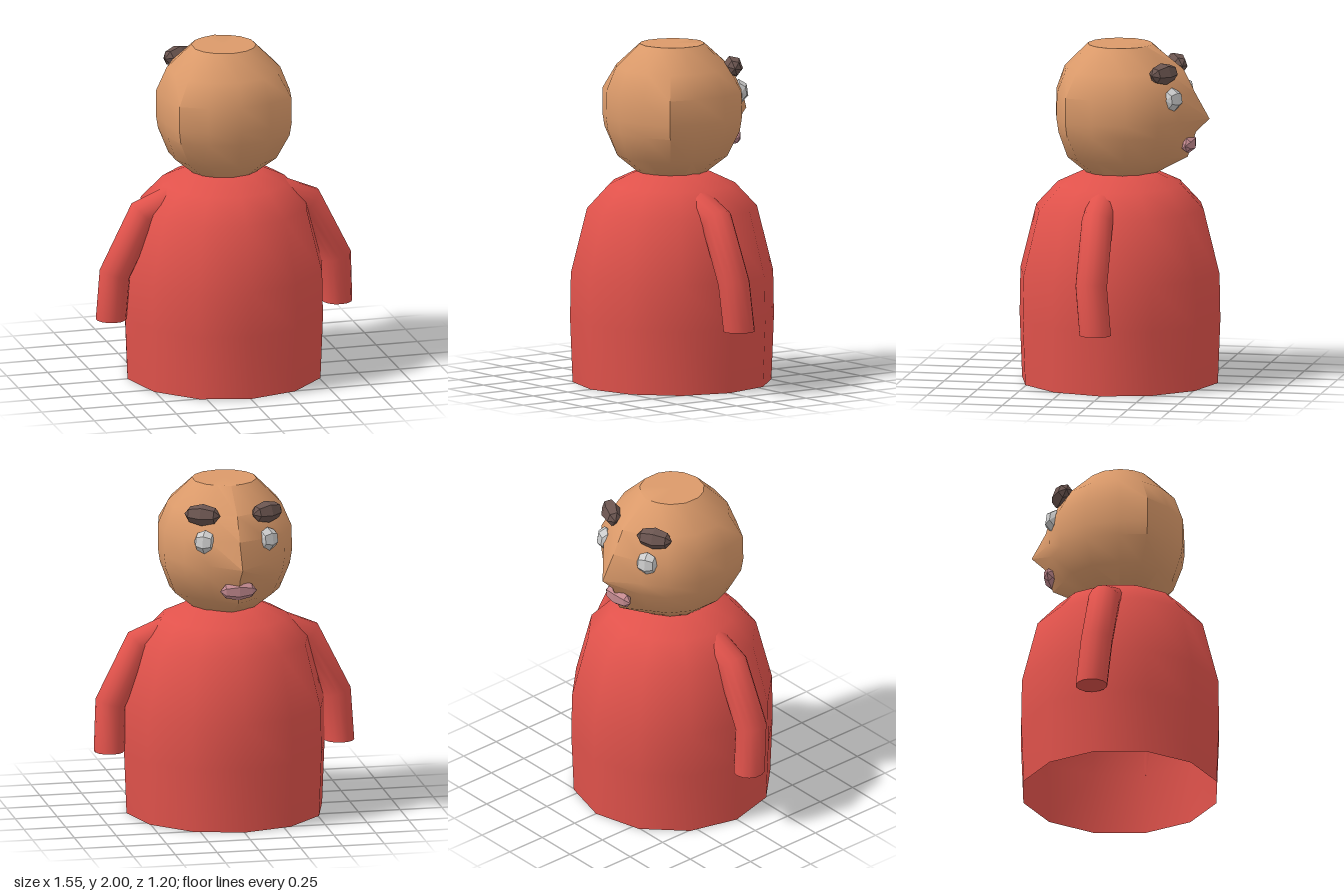
import * as THREE from 'three';
import { toCreasedNormals, mergeVertices } from 'three/addons/utils/BufferGeometryUtils.js';

const mat = (color, opts = {}) => new THREE.MeshStandardMaterial({ color, ...opts });

// Skin over closed rings listed from top to bottom, with optional end caps.
function loft(rings, { top = true, bottom = true, crease = 0.9 } = {}) {
  const n = rings[0].length, pos = [], idx = [];
  rings.forEach(r => r.forEach(p => pos.push(...p)));
  for (let j = 0; j < rings.length - 1; j++) {
    for (let i = 0; i < n; i++) {
      const a = j * n + i, b = j * n + (i + 1) % n, c = a + n, d = b + n;
      idx.push(a, c, d, a, d, b);
    }
  }
  const cap = (j, up) => {
    const centre = [0, 1, 2].map(k => rings[j].reduce((s, p) => s + p[k], 0) / n);
    const m = pos.length / 3;
    pos.push(...centre);
    for (let i = 0; i < n; i++) {
      const a = j * n + i, b = j * n + (i + 1) % n;
      idx.push(m, up ? a : b, up ? b : a);
    }
  };
  if (top) cap(0, true);
  if (bottom) cap(rings.length - 1, false);
  const g = new THREE.BufferGeometry();
  g.setAttribute('position', new THREE.Float32BufferAttribute(pos, 3));
  g.setIndex(idx);
  return toCreasedNormals(g, crease);
}

// Robe: twelve-sided, open underneath
function robeGeometry() {
  const profile = [[0.2, 1.25], [0.37, 1.17], [0.5, 1.03], [0.595, 0.65], [0.6, 0.38], [0.585, 0]];
  const rings = profile.map(([r, y]) => Array.from({ length: 12 }, (_, i) => {
    const a = i * Math.PI / 6;
    return [r * Math.sin(a), y, r * Math.cos(a)];
  }));
  return loft(rings, { bottom: false });
}

// Head: rounded rings drawn out to a pointed nose at -z
function headGeometry() {
  // height, radius, reach of the face line, amount of corner bulge
  const rows = [
    [2.0, 0.19, 0.2, 0], [1.86, 0.33, 0.38, 0.3], [1.72, 0.38, 0.45, 1], [1.57, 0.382, 0.535, 1],
    [1.49, 0.37, 0.455, 1], [1.34, 0.32, 0.405, 0.3], [1.24, 0.2, 0.22, 0],
  ];
  // angle from the back, bulge factor
  const half = [[0, 0], [29, 0.02], [53, 0.12], [76, 0.02], [106, 0.04], [134, 0.09], [156, 0.1]];
  const columns = [...half, [180, 0], ...half.slice(1).reverse().map(([a, b]) => [360 - a, b])];
  const rings = rows.map(([y, r, face, bulge]) => columns.map(([deg, b]) => {
    const a = deg * Math.PI / 180, q = deg === 180 ? face : r * (1 + b * bulge);
    return [q * Math.sin(a), y, q * Math.cos(a)];
  }));
  return loft(rings, { crease: 0.7 });
}

// Sleeve: mitred tube through shoulder, elbow and cuff
function armGeometry(side) {
  const path = [[0.32, 1.085, 0.035], [0.5, 1.01, 0.035], [0.672, 0.665, 0.035], [0.687, 0.38, 0.008]];
  const radius = 0.09, n = 14;
  const dir = k => new THREE.Vector2(path[k + 1][0] - path[k][0], path[k + 1][1] - path[k][1]).normalize();
  const rings = path.map(([x, y, z], k) => {
    const d0 = dir(Math.max(k - 1, 0)), d1 = dir(Math.min(k, path.length - 2));
    const t = d0.clone().add(d1).normalize();
    const last = k === path.length - 1;
    const u = last ? new THREE.Vector2(1, 0) : new THREE.Vector2(-t.y, t.x);
    const w = last ? radius : radius / t.dot(d1);
    return Array.from({ length: n }, (_, i) => {
      const a = side * i * 2 * Math.PI / n, s = Math.sin(a) * w;
      return [side * (x + u.x * s), y + u.y * s, z + Math.cos(a) * (radius + 0.004)];
    });
  });
  return loft(rings);
}

// Faceted pebble with its points at the two ends of its length
function pebble(name, color, size, position, turn = 0, tilt = 0) {
  const g = new THREE.SphereGeometry(0.5, 6, 4).rotateZ(Math.PI / 2).scale(...size);
  const mesh = new THREE.Mesh(g, mat(color, { flatShading: true }));
  mesh.name = name;
  mesh.position.set(...position);
  mesh.rotation.set(tilt, turn, 0, 'YXZ');
  return mesh;
}

export function createModel() {
  const model = new THREE.Group();
  const add = (name, geometry, material) => {
    const mesh = new THREE.Mesh(geometry, material);
    mesh.name = name;
    model.add(mesh);
  };
  const red = mat(0xe0524b);
  add('robe', robeGeometry(), mat(0xe0524b, { side: THREE.DoubleSide }));
  add('head', headGeometry(), mat(0xdb9a6a));

  for (const side of [1, -1]) {
    const label = side > 0 ? 'left' : 'right';
    add(label + 'Arm', armGeometry(side), red);
    model.add(pebble(label + 'Brow', 0x6b5550, [0.22, 0.13, 0.12], [side * 0.193, 1.86, -0.3], -side * 0.5, 0.35));
    model.add(pebble(label + 'Eye', 0xcccccc, [0.13, 0.14, 0.1], [side * 0.19, 1.71, -0.355], -side * 0.5, 0.15));
  }
  // Mouth
  model.add(pebble('mouth', 0xc48a90, [0.22, 0.115, 0.085], [0, 1.42, -0.413]));
  return model;
}
